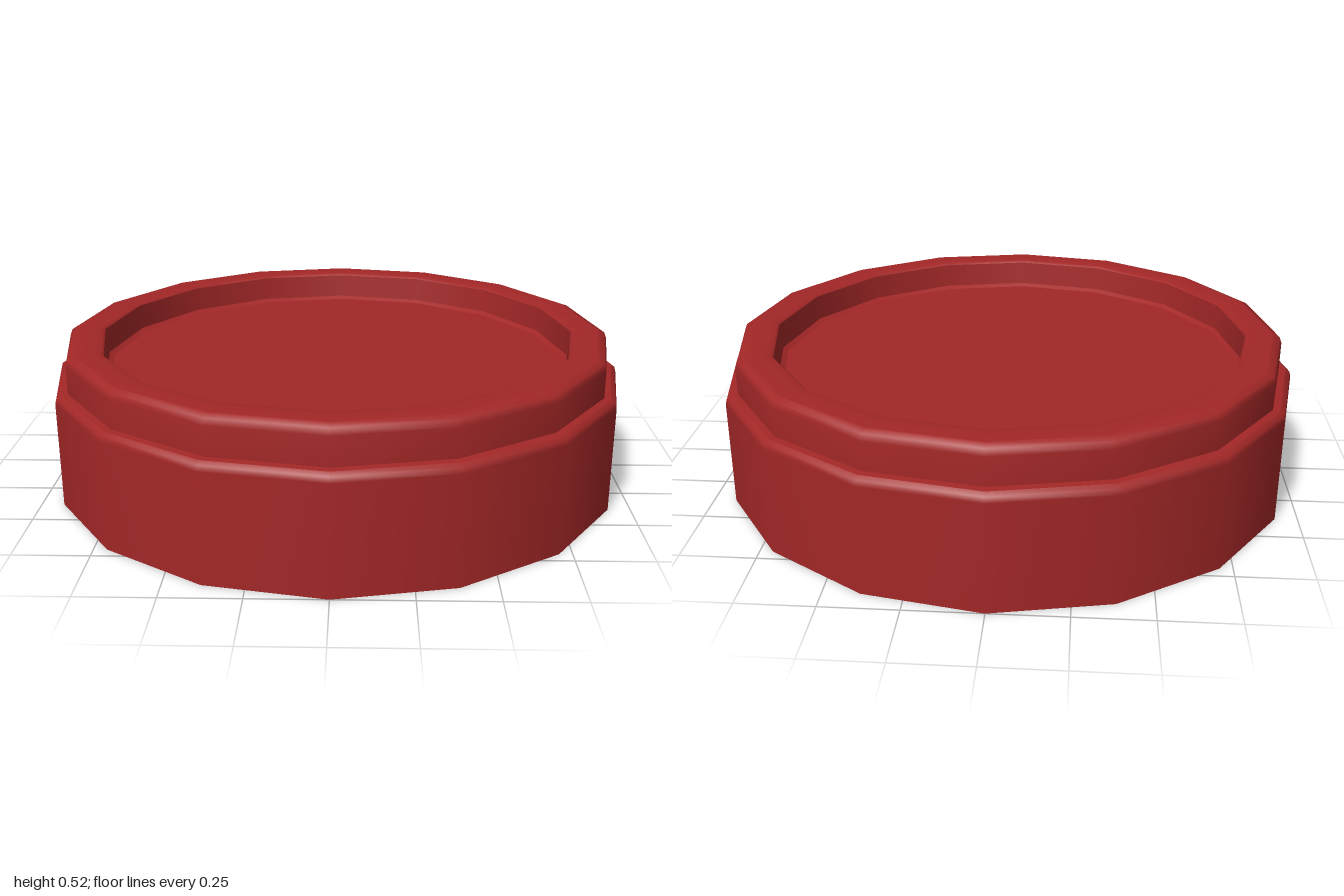
import * as THREE from 'three';

const SIDES = 16;

export function createModel() {
  const group = new THREE.Group();
  const red = new THREE.MeshStandardMaterial({ color: 0xa32727 });
  red.name = 'deep red';

  // Each section is smooth in itself; edges between sections stay sharp.
  const ring = (name, profile) => {
    const points = profile.map(([r, y]) => new THREE.Vector2(r, y));
    const mesh = new THREE.Mesh(new THREE.LatheGeometry(points, SIDES), red);
    mesh.name = name;
    group.add(mesh);
  };

  // Wide lower body
  ring('bottom', [[0, 0], [1, 0]]);
  ring('bodyWall', [[1, 0], [1, 0.365], [0.995, 0.383], [0.98, 0.393]]);
  ring('bodyLedge', [[0.98, 0.393], [0.957, 0.395]]);

  // Narrower raised rim with a softened edge
  ring('rimWall', [[0.957, 0.395], [0.957, 0.49], [0.949, 0.511], [0.925, 0.52]]);
  ring('rimTop', [[0.925, 0.52], [0.88, 0.522], [0.84, 0.52], [0.83, 0.512]]);

  // Shallow recess
  ring('recessWall', [[0.83, 0.512], [0.822, 0.425]]);
  ring('recessFillet', [[0.822, 0.425], [0.805, 0.415]]);
  ring('recessFloor', [[0.805, 0.415], [0, 0.415]]);

  return group;
}
